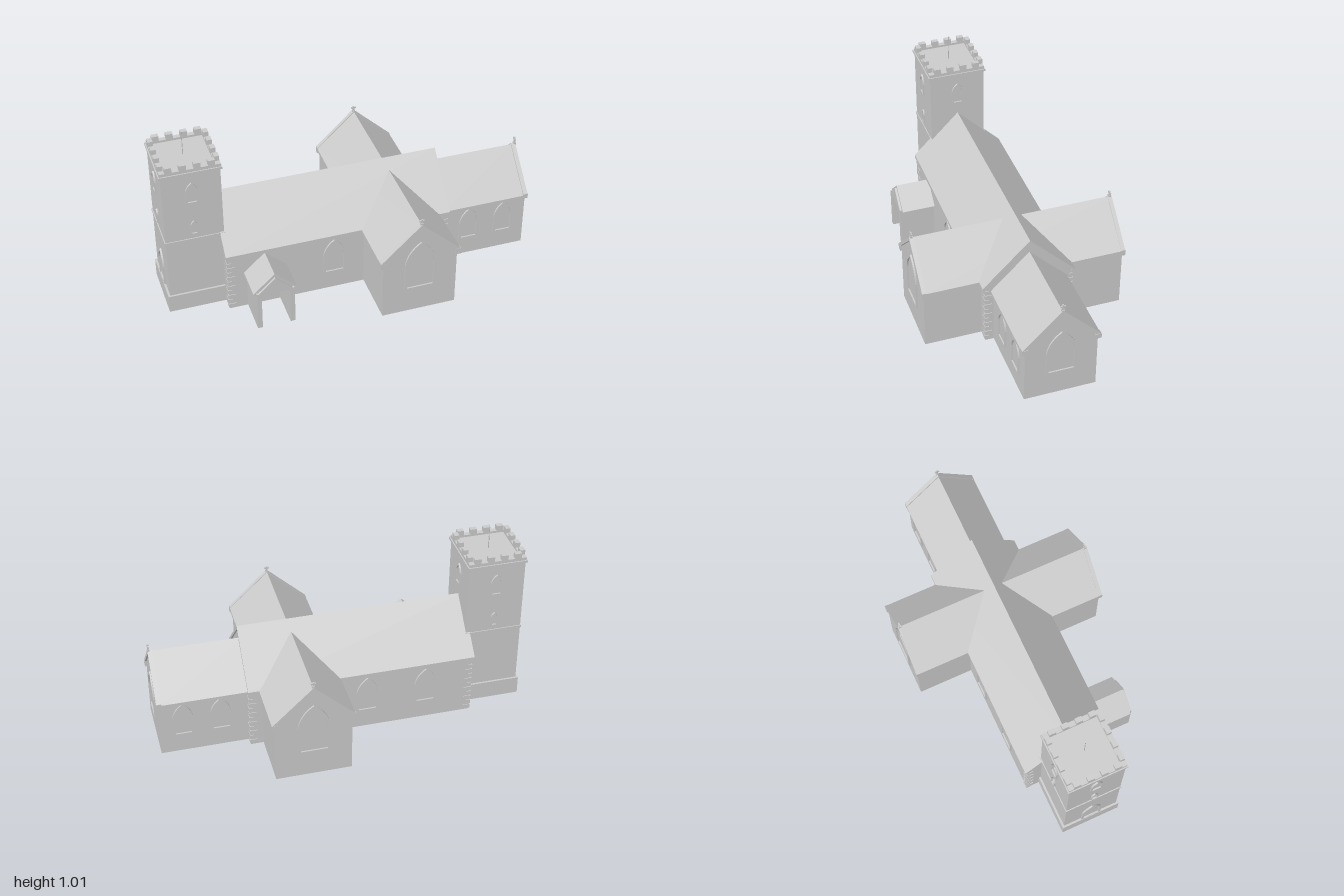
import * as THREE from 'three';

export function createModel() {
  const model = new THREE.Group();
  const stone = new THREE.MeshStandardMaterial({ color: 0xcccccc });
  stone.name = 'stone grey';

  const add = (name, geo, parent = model) => {
    const mesh = new THREE.Mesh(geo, stone);
    mesh.name = name;
    parent.add(mesh);
    return mesh;
  };
  // Box from its minimum and maximum corners
  const box = (name, x0, x1, y0, y1, z0, z1, parent) =>
    add(name, new THREE.BoxGeometry(x1 - x0, y1 - y0, z1 - z0), parent)
      .position.set((x0 + x1) / 2, (y0 + y1) / 2, (z0 + z1) / 2);
  // Symmetric section pushed along the x or z axis between a and b
  const prism = (name, points, axis, a, b, centre = 0) => {
    const shape = new THREE.Shape(points.map(p => new THREE.Vector2(p[0], p[1])));
    const mesh = add(name, new THREE.ExtrudeGeometry(shape, { depth: b - a, bevelEnabled: false }));
    if (axis === 'x') {
      mesh.rotation.y = Math.PI / 2;
      mesh.position.set(a, 0, centre);
    } else mesh.position.set(centre, 0, a);
  };
  const house = (half, eaves, ridge, base = 0) =>
    [[-half, base], [half, base], [half, eaves], [0, ridge], [-half, eaves]];
  const chevron = (half, eaves, ridge, t) =>
    [[-half, eaves - t], [0, ridge - t], [half, eaves - t], [half, eaves], [0, ridge], [-half, eaves]];

  // Pointed arch outline, base at the origin
  const arch = (path, half, height, base = 0) => {
    const spring = Math.max(height - half * 1.6, base + 0.01);
    path.moveTo(-half, base);
    path.lineTo(half, base);
    path.lineTo(half, spring);
    path.quadraticCurveTo(half * 0.9, spring + (height - spring) * 0.6, 0, height);
    path.quadraticCurveTo(-half * 0.9, spring + (height - spring) * 0.6, -half, spring);
    path.closePath();
    return path;
  };
  // Raised arched surround on a wall; turn is the wall's heading about y
  const archedWindow = (name, x, y, z, turn, half, height, rim = 0.012) => {
    const group = new THREE.Group();
    group.name = name;
    const shape = arch(new THREE.Shape(), half, height);
    shape.holes.push(arch(new THREE.Path(), half - rim, height - rim * 1.4, rim * 0.6));
    add('surround', new THREE.ExtrudeGeometry(shape, { depth: 0.011, bevelEnabled: false, curveSegments: 8 }), group)
      .position.z = -0.002;
    add('pane', new THREE.ShapeGeometry(arch(new THREE.Shape(), half - rim, height - rim), 8), group)
      .position.z = 0.001;
    group.position.set(x, y, z);
    group.rotation.y = turn;
    model.add(group);
  };
  // Gable cross, facing along the given axis
  const cross = (x, y, z, axis, h) => {
    const group = new THREE.Group();
    group.name = 'gableCross';
    box('shaft', -0.004, 0.004, 0, h, -0.004, 0.004, group);
    box('arms', -0.013, 0.013, h * 0.6, h * 0.6 + 0.008, -0.004, 0.004, group);
    box('foot', -0.007, 0.007, -0.01, 0.008, -0.007, 0.007, group);
    group.position.set(x, y, z);
    if (axis === 'x') group.rotation.y = Math.PI / 2;
    model.add(group);
  };
  const sides = [1, -1];
  const facing = s => (s > 0 ? 0 : Math.PI);

  // Nave
  prism('naveWalls', house(0.235, 0.345, 0.59), 'x', -0.695, 0.515);
  prism('naveRoof', chevron(0.25, 0.355, 0.605, 0.02), 'x', -0.705, 0.522);
  for (const s of sides) {
    box('naveEaves', -0.7, 0.52, 0.335, 0.35, s > 0 ? 0.23 : -0.248, s > 0 ? 0.248 : -0.23);
    // Alternating corner stones
    for (const e of sides) {
      const cx = e > 0 ? 0.515 : -0.695;
      for (let i = 0; i < 11; i++) {
        const lx = i % 2 ? 0.022 : 0.04, lz = i % 2 ? 0.04 : 0.022;
        const stoneBlock = add('quoin', new THREE.BoxGeometry(lx, 0.022, lz));
        stoneBlock.position.set(cx + e * (0.004 - lx / 2), 0.02 + i * 0.03, s * (0.239 - lz / 2));
      }
    }
  }
  archedWindow('naveWindow', -0.12, 0.11, 0.235, 0, 0.06, 0.21);
  archedWindow('naveWindow', -0.12, 0.11, -0.235, Math.PI, 0.06, 0.21);
  archedWindow('naveWindow', -0.44, 0.11, -0.235, Math.PI, 0.06, 0.21);

  // Chancel
  prism('chancelWalls', house(0.19, 0.325, 0.515), 'x', 0.5, 0.984);
  prism('chancelRoof', chevron(0.205, 0.325, 0.53, 0.018), 'x', 0.5, 0.975);
  prism('chancelCoping', chevron(0.205, 0.333, 0.538, 0.024), 'x', 0.968, 0.992);
  for (const s of sides) {
    box('chancelKneeler', 0.966, 0.994, 0.306, 0.334, s * 0.19 - 0.016, s * 0.19 + 0.016);
    for (const x of [0.66, 0.86])
      archedWindow('chancelWindow', x, 0.11, s * 0.19, facing(s), 0.055, 0.195);
  }
  archedWindow('eastWindow', 0.984, 0.14, 0, Math.PI / 2, 0.08, 0.26, 0.014);
  cross(0.988, 0.533, 0, 'x', 0.04);

  // Transepts
  const tx = 0.246;
  prism('transeptWalls', house(0.201, 0.345, 0.535), 'z', -0.54, 0.54, tx);
  prism('transeptRoof', chevron(0.217, 0.352, 0.555, 0.018), 'z', -0.535, 0.535, tx);
  for (const s of sides) {
    const z = s * 0.539;
    prism('transeptCoping', chevron(0.217, 0.355, 0.56, 0.024), 'z', z - 0.011, z + 0.011, tx);
    for (const e of sides)
      box('transeptKneeler', tx + e * 0.204 - 0.014, tx + e * 0.204 + 0.014, 0.322, 0.356, z - 0.012, z + 0.012);
    archedWindow('transeptWindow', tx, 0.15, s * 0.54, facing(s), 0.085, 0.295, 0.014);
    cross(tx, 0.556, z, 'z', 0.03);
  }

  // Porch with open front and arched door
  const px = -0.495;
  for (const s of sides)
    box('porchWall', px + s * 0.088 - 0.013, px + s * 0.088 + 0.013, 0, 0.225, 0.23, 0.43);
  prism('porchGable', [[-0.1, 0.215], [0.1, 0.215], [0, 0.31]], 'z', 0.405, 0.43, px);
  prism('porchRoof', chevron(0.115, 0.222, 0.327, 0.02), 'z', 0.23, 0.418, px);
  archedWindow('porchDoor', px, 0.045, 0.235, 0, 0.06, 0.18);

  // Tower
  const cx = -0.836, half = 0.153;
  const slab = (name, r, y0, y1) => box(name, cx - r, cx + r, y0, y1, -r, r);
  slab('towerShaft', half, 0, 0.868);
  slab('towerPlinth', 0.164, 0, 0.1);
  slab('towerStringCourse', 0.158, 0.437, 0.449);
  slab('towerCornice', 0.162, 0.85, 0.863);
  for (let q = 0; q < 4; q++) {
    // Battlement on one side, turned around the tower
    const side = new THREE.Group();
    side.name = 'battlement';
    box('parapet', -0.156, 0.13, 0.86, 0.88, 0.13, 0.156, side);
    for (const m of [-0.11, -0.037, 0.037, 0.11])
      box('merlon', m - 0.018, m + 0.018, 0.88, 0.908, 0.13, 0.156, side);
    side.position.x = cx;
    side.rotation.y = q * Math.PI / 2;
    model.add(side);
    // Belfry opening with its louvre bar
    const a = q * Math.PI / 2, dx = Math.sin(a), dz = Math.cos(a);
    archedWindow('belfryWindow', cx + dx * half, 0.675, dz * half, a, 0.032, 0.122, 0.009);
    if (q !== 1) archedWindow('stairSlit', cx + dx * half, 0.48, dz * half, a, 0.018, 0.08, 0.006);
  }
  archedWindow('westWindow', cx - half, 0.1, 0, -Math.PI / 2, 0.055, 0.2);
  add('flagpole', new THREE.CylinderGeometry(0.0015, 0.0025, 0.145, 6)).position.set(cx, 0.937, 0);

  return model;
}
